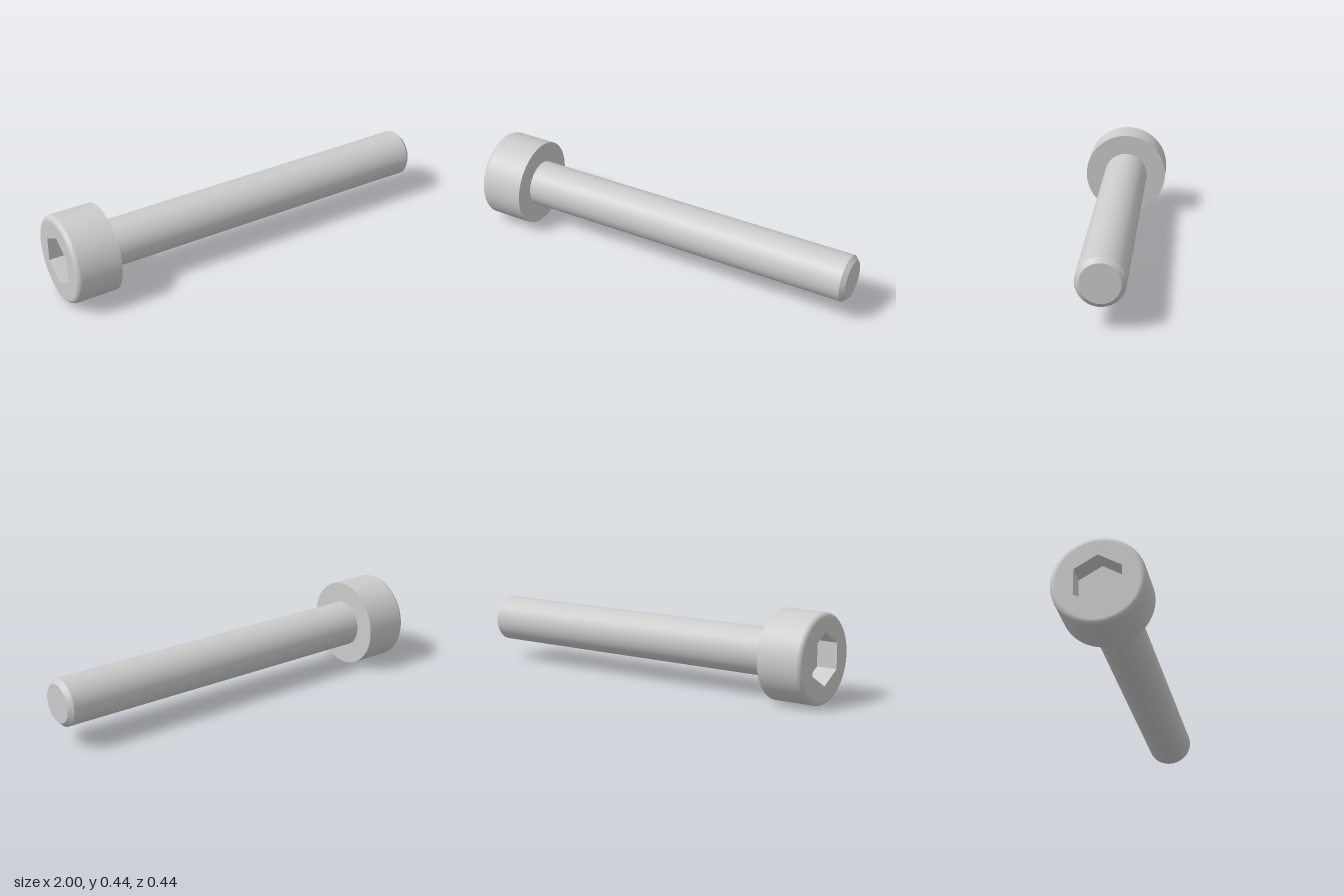
import * as THREE from 'three';

const HEAD_R = 0.22, SHAFT_R = 0.117;
const HEAD_START = -1, HEAD_END = -0.767, TIP = 1;
const FILLET = 0.025, CHAMFER = 0.022;
const SOCKET_R = 0.22 / Math.sqrt(3), SOCKET_FLOOR = -0.894;

export function createModel() {
  const model = new THREE.Group();
  model.name = 'socketHeadScrew';

  // Built along local z, then turned so the tip points to +x
  const screw = new THREE.Group();
  screw.name = 'screw';
  screw.rotation.y = Math.PI / 2;
  screw.position.y = HEAD_R;
  model.add(screw);

  const add = (name, geometry, flatShading = false) => {
    const mesh = new THREE.Mesh(geometry, new THREE.MeshStandardMaterial({ color: 0xcccccc, flatShading }));
    mesh.name = name;
    screw.add(mesh);
  };

  // Revolves [radius, axial position] pairs around the screw axis
  const turn = (name, points, segments = 96, flat = false) => {
    const profile = points.map(([r, a]) => new THREE.Vector2(r, a));
    add(name, new THREE.LatheGeometry(profile, segments).rotateX(Math.PI / 2), flat);
  };

  // Head: rounded rim running into the cylindrical side
  const rim = [];
  for (let i = 0; i <= 12; i++) {
    const t = (i / 12) * Math.PI / 2;
    rim.push([HEAD_R - FILLET + FILLET * Math.sin(t), HEAD_START + FILLET - FILLET * Math.cos(t)]);
  }
  turn('headSide', [...rim, [HEAD_R, HEAD_END]]);
  turn('headUnderside', [[HEAD_R, HEAD_END], [SHAFT_R, HEAD_END]]);

  // Head face with a hexagonal opening, corners up and down
  const face = new THREE.Shape().absarc(0, 0, HEAD_R - FILLET, 0, Math.PI * 2);
  const hexagon = [];
  for (let i = 0; i < 6; i++) {
    const a = Math.PI / 2 - i * Math.PI / 3;
    hexagon.push(new THREE.Vector2(SOCKET_R * Math.cos(a), SOCKET_R * Math.sin(a)));
  }
  face.holes.push(new THREE.Path(hexagon));
  add('headFace', new THREE.ShapeGeometry(face, 48).rotateY(Math.PI).translate(0, 0, HEAD_START));

  // Hex socket: floor and inward-facing walls
  turn('hexSocket', [[0, SOCKET_FLOOR], [SOCKET_R, SOCKET_FLOOR], [SOCKET_R, HEAD_START]], 6, true);

  // Shaft with a chamfered tip
  turn('shaft', [[SHAFT_R, HEAD_END], [SHAFT_R, TIP - CHAMFER]]);
  turn('tipChamfer', [[SHAFT_R, TIP - CHAMFER], [SHAFT_R - CHAMFER, TIP]]);
  turn('tipFace', [[SHAFT_R - CHAMFER, TIP], [0, TIP]]);

  return model;
}
